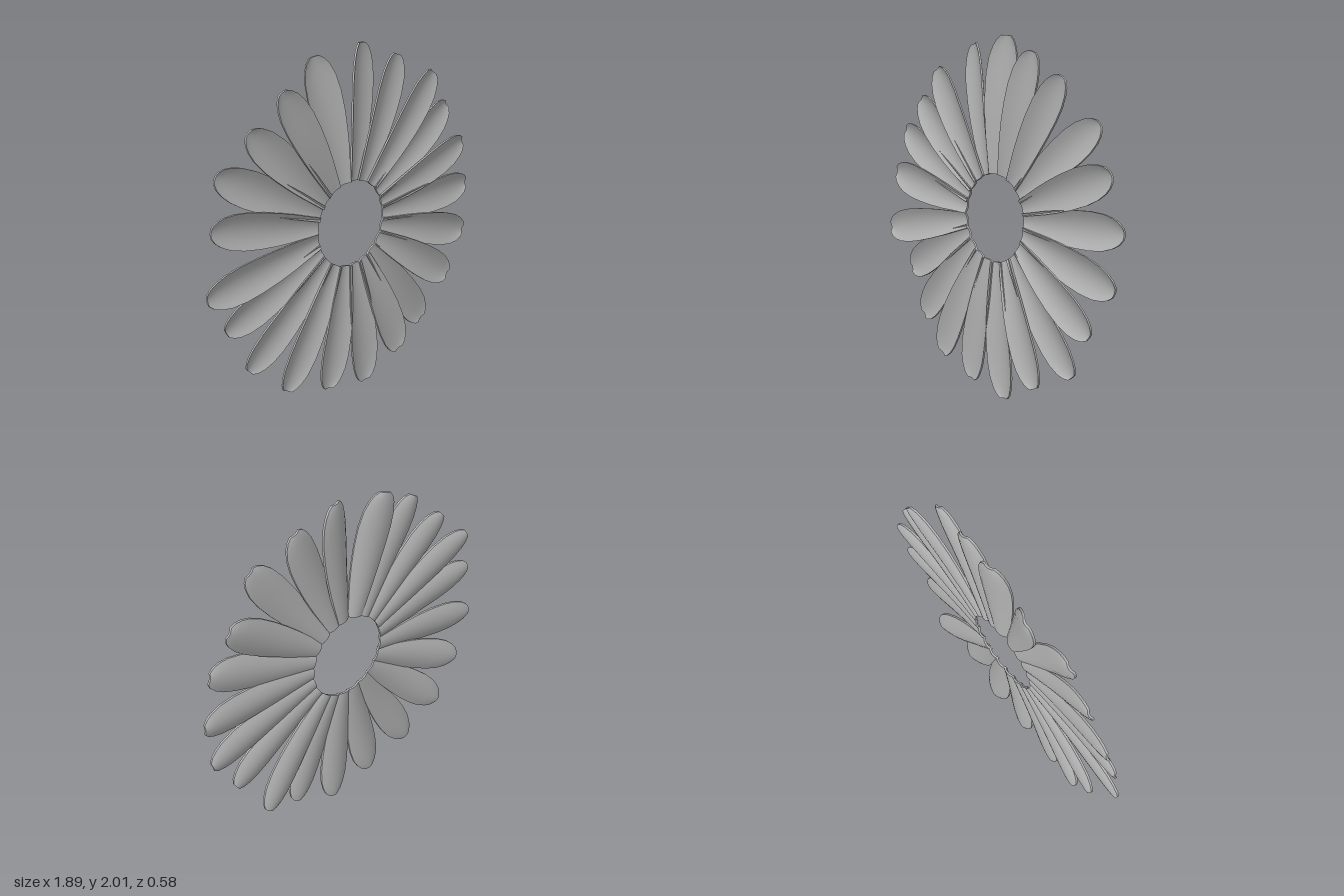
import * as THREE from 'three';
import { toCreasedNormals } from 'three/addons/utils/BufferGeometryUtils.js';

// Tip of each petal (x, y, z) with its twist, clockwise from the top
const TIPS = [
  [0.09, 2.0, -0.04, 0.25], [0.33, 1.91, -0.08, 0.1], [0.59, 1.78, -0.12, 0.05],
  [0.76, 1.55, -0.24, 0], [0.88, 1.31, -0.24, 0.1], [0.94, 1.03, -0.28, 0],
  [0.91, 0.74, -0.25, 0], [0.77, 0.49, -0.19, 0], [0.59, 0.23, -0.19, 0],
  [0.37, 0.12, -0.08, 0], [0.11, 0.0, -0.02, 0], [-0.17, 0.05, 0.06, 0],
  [-0.46, 0.14, 0.13, 0], [-0.69, 0.33, 0.16, 0], [-0.82, 0.6, 0.19, 0],
  [-0.945, 0.84, 0.28, 0.05], [-0.9, 1.19, 0.255, 0], [-0.85, 1.45, 0.21, 0],
  [-0.66, 1.64, 0.18, 0], [-0.46, 1.82, 0.15, 0], [-0.22, 1.96, 0.02, -0.22],
];
// Petal outline: fraction along the length, half width
const OUTLINE = [
  [0, 0.045], [0.12, 0.058], [0.27, 0.075], [0.42, 0.088], [0.57, 0.097],
  [0.72, 0.1], [0.84, 0.092], [0.92, 0.075], [0.97, 0.055], [1, 0.03],
];
const COLS = 8;
const THICKNESS = 0.012;
const TILT = 0.28; // the flower head is turned about the vertical
const CENTRE = new THREE.Vector3(0.01, 1.005, 0);
const U = new THREE.Vector3(Math.cos(TILT), 0, -Math.sin(TILT));
const N = new THREE.Vector3(Math.sin(TILT), 0, Math.cos(TILT));

// Thin cupped petal: each row is a closed ring, front left to right, then back
function petalGeometry([x, y, z, twist]) {
  const tip = new THREE.Vector3(x, y, z);
  const angle = Math.atan2(y - CENTRE.y, (x - CENTRE.x) / Math.cos(TILT));
  const root = CENTRE.clone()
    .addScaledVector(U, Math.cos(angle) * 0.245)
    .add(new THREE.Vector3(0, Math.sin(angle) * 0.245, 0));
  const along = tip.clone().sub(root).normalize();
  const side = along.clone().cross(N).normalize().applyAxisAngle(along, twist);
  const normal = side.clone().cross(along).normalize();

  const pos = [];
  const index = [];
  const ring = 2 * (COLS + 1);
  for (const [t, w] of OUTLINE) {
    const bow = 0.012 * Math.sin(Math.PI * t);
    for (let k = 0; k < ring; k++) {
      const front = k <= COLS;
      const s = ((front ? k : ring - 1 - k) / COLS) * 2 - 1;
      const cup = 0.3 * w * (s * s - 0.5);
      const p = root.clone().lerp(tip, t)
        .addScaledVector(side, s * w)
        .addScaledVector(normal, cup + bow + (front ? 0.5 : -0.5) * THICKNESS);
      pos.push(p.x, p.y, p.z);
    }
  }
  const quad = (a, b, c, d) => index.push(a, b, c, a, c, d);
  for (let r = 0; r < OUTLINE.length - 1; r++) {
    for (let k = 0; k < ring; k++) {
      const a = r * ring + k;
      const b = r * ring + (k + 1) % ring;
      quad(a, b, b + ring, a + ring);
    }
  }
  // Root and tip end faces
  const last = (OUTLINE.length - 1) * ring;
  for (let k = 0; k < COLS; k++) {
    const m = ring - 1 - k;
    quad(k, m, m - 1, k + 1);
    quad(last + k, last + k + 1, last + m - 1, last + m);
  }
  const geo = new THREE.BufferGeometry();
  geo.setAttribute('position', new THREE.Float32BufferAttribute(pos, 3));
  geo.setIndex(index);
  return toCreasedNormals(geo, 0.8);
}

export function createModel() {
  const grey = new THREE.MeshStandardMaterial({ color: 0xb2b2b2 });
  grey.name = 'petalGrey';
  const flower = new THREE.Group();
  flower.name = 'petalRing';
  TIPS.forEach((tip, i) => {
    const petal = new THREE.Mesh(petalGeometry(tip), grey);
    petal.name = `petal${i + 1}`;
    flower.add(petal);
  });
  return flower;
}
